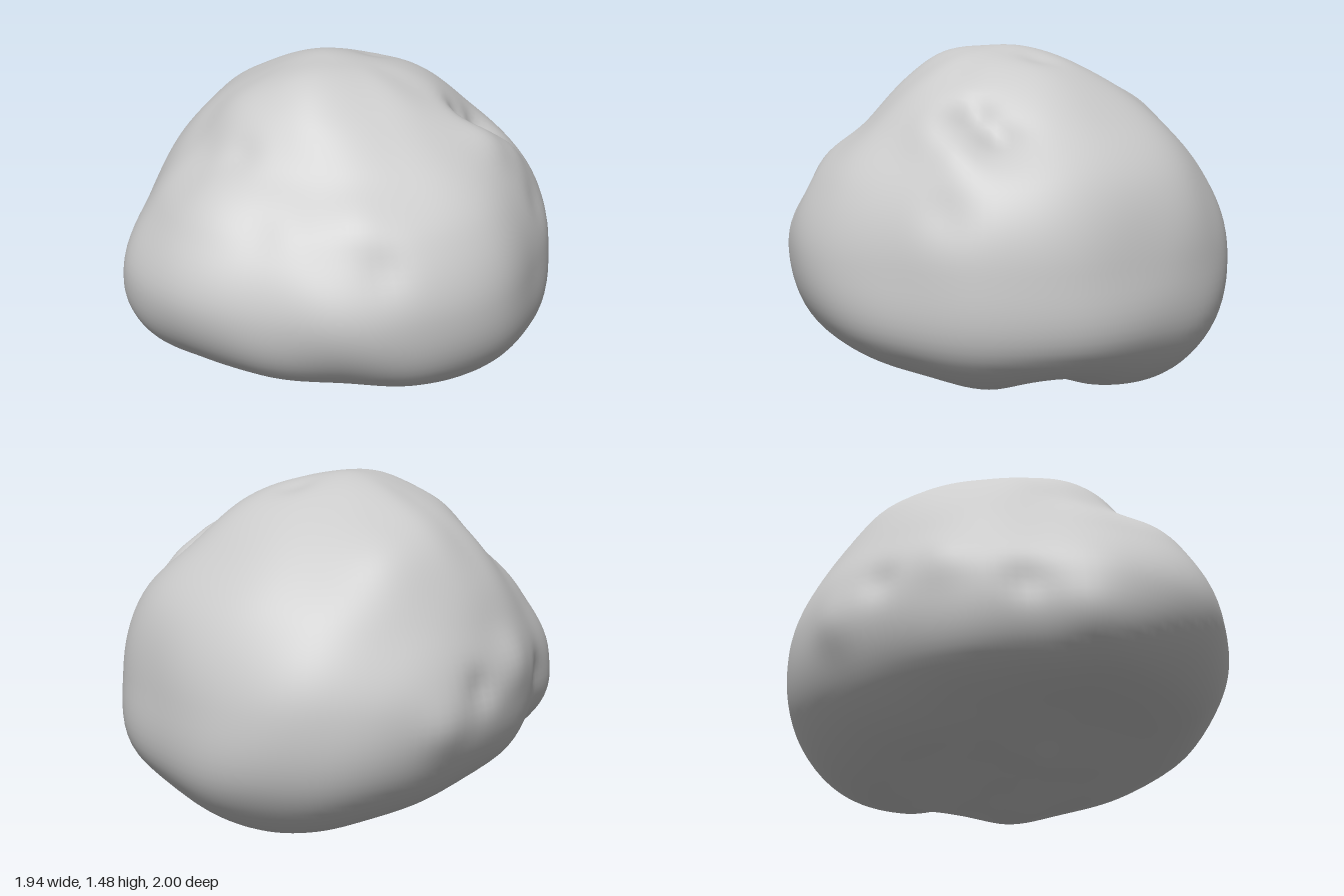
import * as THREE from 'three';
import { mergeVertices } from 'three/addons/utils/BufferGeometryUtils.js';

// Distance from the core to the surface: one row per 20 degrees of elevation
// (-60 to 60), one column per 22.5 degrees of azimuth, from +x towards +z.
const RINGS = [
  [.55, .54, .52, .50, .49, .50, .52, .55, .56, .58, .61, .63, .61, .60, .60, .57],
  [.77, .70, .65, .61, .59, .61, .65, .70, .77, .83, .90, .93, .88, .82, .84, .81],
  [.95, .92, .87, .87, .87, .92, .85, .87, .90, .97, 1.03, 1.05, 1.03, 1.02, 1.01, .97],
  [.97, .96, .955, .95, .99, .985, .89, .89, .94, .99, 1.03, 1.02, .99, 1.0, .99, .95],
  [.925, .90, .87, .89, .92, .89, .85, .86, .89, .93, .96, .965, .965, .96, .95, .92],
  [.85, .81, .79, .80, .82, .81, .81, .84, .89, .90, .89, .90, .89, .88, .85, .88],
  [.84, .83, .83, .84, .85, .85, .84, .84, .86, .86, .86, .87, .87, .87, .86, .84],
];
const ROWS = [Array(16).fill(.49), ...RINGS, Array(16).fill(.86)];
const CORE = new THREE.Vector3(0, .6, 0);

// Knobs and hollows: a point near the surface, angular width, height
const LUMPS = [
  // crown and the bump in front of it
  [-.05, 1.47, -.02, .15, .012],
  [0, 1.38, -.25, .10, -.015],
  [.10, 1.36, .25, .20, .02],
  // knob on the back left shoulder, with the groove beside it
  [.64, 1.16, -.32, .13, .03],
  [.66, 1.10, -.50, .12, .03],
  [.45, 1.20, -.35, .10, -.05],
  [.46, 1.14, -.53, .10, -.05],
  [.78, .85, -.55, .12, -.02],
  // brow and ledge on the front
  [.02, 1.03, .72, .17, .02],
  [.02, 1.14, .55, .10, -.015],
  [.30, .95, .75, .12, -.015],
  [.70, .80, .45, .10, -.015],
  [.60, 1.0, .50, .15, .02],
  // right flank
  [-.45, 1.16, .38, .18, .02],
  [-.52, .44, .80, .13, .02],
  [-.66, .58, .60, .10, -.02],
  [-.82, .72, .28, .14, .025],
  [-.92, .65, .02, .09, -.03],
  [-.96, .52, -.20, .12, .025],
  [-.62, 1.20, -.25, .16, .015],
  // underside feet and the hollow between them
  [.45, .08, -.45, .18, .01],
  [.15, .10, -.55, .14, -.03],
].map(([x, y, z, width, height]) => ({
  dir: new THREE.Vector3(x, y, z).sub(CORE).normalize(), width, height,
}));

// Catmull-Rom blend of four values
function cubic(a, b, c, d, t) {
  return b + .5 * t * (c - a + t * (2 * a - 5 * b + 4 * c - d + t * (3 * (b - c) + d - a)));
}

function alongRing(row, u) {
  const i = Math.floor(u);
  const at = k => row[(i + k + 32) % 16];
  return cubic(at(-1), at(0), at(1), at(2), u - i);
}

function radius(d) {
  const u = Math.atan2(d.z, d.x) / (Math.PI / 8) + 16;
  const elevation = THREE.MathUtils.radToDeg(Math.asin(THREE.MathUtils.clamp(d.y, -1, 1)));
  const v = THREE.MathUtils.clamp((elevation + 80) / 20, 0, 8);
  const j = Math.min(7, Math.floor(v));
  const ring = k => alongRing(ROWS[THREE.MathUtils.clamp(j + k, 0, 8)], u);
  let r = cubic(ring(-1), ring(0), ring(1), ring(2), v - j);
  for (const { dir, width, height } of LUMPS) {
    r += height * Math.exp(-((d.angleTo(dir) / width) ** 2));
  }
  // Gentle weathering
  return r + .005 * Math.sin(9 * d.x + 4 * d.y) * Math.sin(8 * d.z - 5 * d.y + 1);
}

export function createModel() {
  const group = new THREE.Group();
  group.name = 'boulder';

  // Push a sphere out to the stone's surface
  let geometry = new THREE.SphereGeometry(1, 128, 80);
  geometry.deleteAttribute('uv');
  geometry.deleteAttribute('normal');
  geometry = mergeVertices(geometry, 1e-4);
  const position = geometry.attributes.position;
  const d = new THREE.Vector3();
  for (let i = 0; i < position.count; i++) {
    d.fromBufferAttribute(position, i).normalize();
    d.multiplyScalar(radius(d)).add(CORE);
    position.setXYZ(i, d.x, d.y, d.z);
  }
  geometry.computeVertexNormals();

  const stone = new THREE.Mesh(geometry, new THREE.MeshStandardMaterial({ color: 0xcccccc }));
  stone.name = 'stone';
  group.add(stone);
  return group;
}
